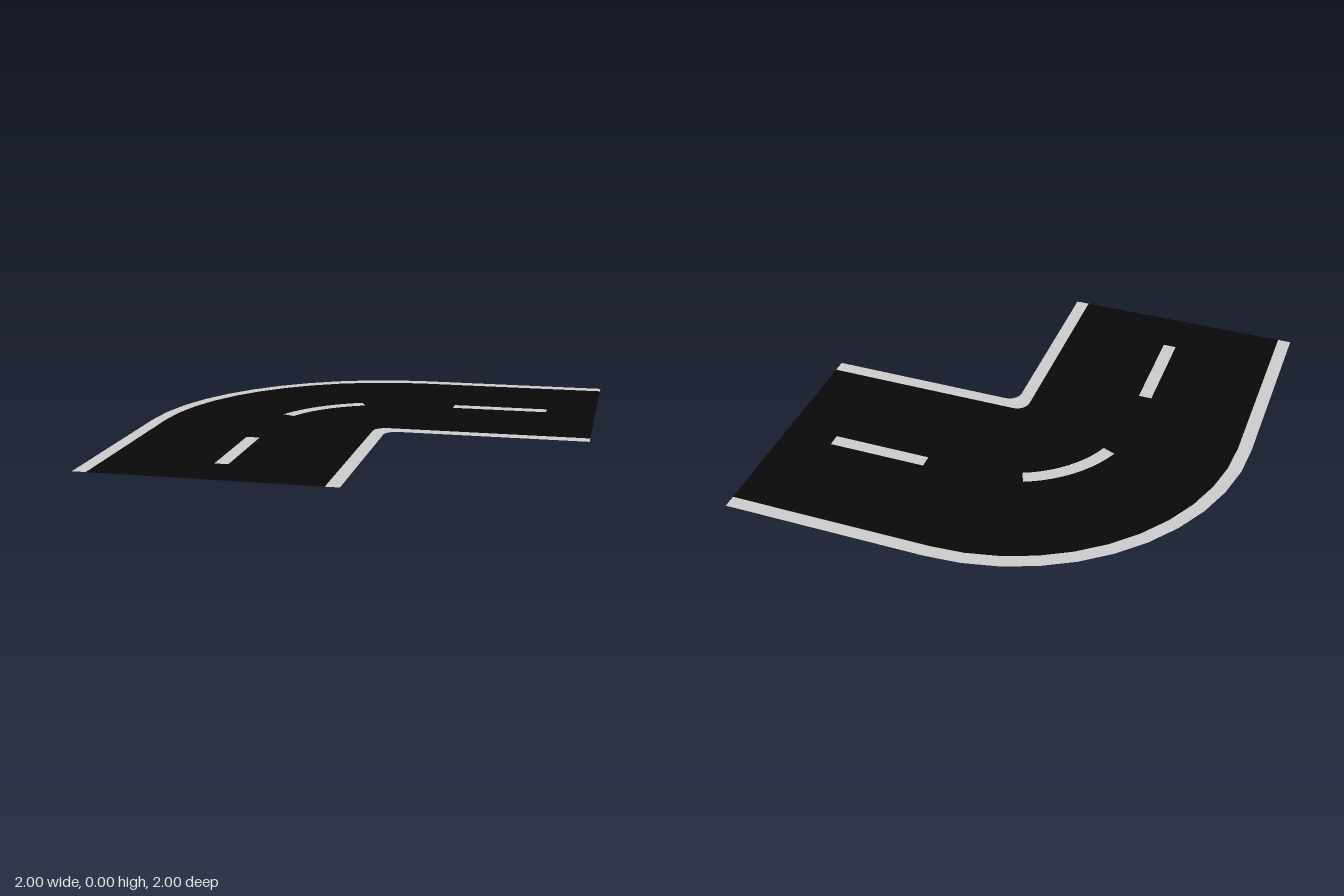
import * as THREE from 'three';

// Plan coordinates: (x, -z). The bend turns about the point (C, -C).
const C = 0.1;
const HALF_LINE = 0.03;
const LANE_RADIUS = 0.55;

function arc(radius, from, to, segments, c = C) {
  const points = [];
  for (let i = 0; i <= segments; i++) {
    const a = from + (to - from) * i / segments;
    points.push(new THREE.Vector2(c + radius * Math.cos(a), -c + radius * Math.sin(a)));
  }
  return points;
}

// Full edge line: straight, quarter turn, straight
function edge(radius, segments, c = C) {
  return [
    new THREE.Vector2(c - radius, -1),
    ...arc(radius, Math.PI, Math.PI / 2, segments, c),
    new THREE.Vector2(1, radius - c),
  ];
}

// Closed outline between two edge lines
const band = (a, b) => [...a, ...b.slice().reverse()];

function rectangle(x0, y0, x1, y1) {
  return [[x0, y0], [x1, y0], [x1, y1], [x0, y1]].map(([x, y]) => new THREE.Vector2(x, y));
}

function flatPart(name, outline, material, holes = []) {
  const shape = new THREE.Shape(outline);
  shape.holes = holes.map((points) => new THREE.Path(points));
  const geometry = new THREE.ShapeGeometry(shape).rotateX(-Math.PI / 2);
  const mesh = new THREE.Mesh(geometry, material);
  mesh.name = name;
  return mesh;
}

export function createModel() {
  const group = new THREE.Group();
  group.name = 'roadBend';
  const grey = new THREE.MeshStandardMaterial({ color: 0xcccccc, side: THREE.DoubleSide });
  const asphalt = new THREE.MeshStandardMaterial({ color: 0x080808, side: THREE.DoubleSide });

  // Edge lines of the kerbs and the carriageway
  const outerRim = edge(1.1, 11);
  const outerRoad = edge(1.04, 11);
  const innerRoad = edge(0.06, 8);
  const innerRim = edge(0.06, 8, 0.16);

  // Centre line dashes, set flush into the road
  const mid = C - LANE_RADIUS;
  const start = Math.PI * 7 / 8, end = Math.PI * 5 / 8;
  const dashes = {
    frontDash: rectangle(mid - HALF_LINE, -0.77, mid + HALF_LINE, -0.325),
    bendDash: band(
      arc(LANE_RADIUS + HALF_LINE, start, end, 10),
      arc(LANE_RADIUS - HALF_LINE, start, end, 10),
    ),
    sideDash: rectangle(0.325, -mid - HALF_LINE, 0.77, -mid + HALF_LINE),
  };

  group.add(
    flatPart('roadSurface', band(outerRoad, innerRoad), asphalt, Object.values(dashes)),
    flatPart('outerKerb', band(outerRim, outerRoad), grey),
    flatPart('innerKerb', band(innerRoad, innerRim), grey),
  );
  for (const [name, outline] of Object.entries(dashes)) {
    group.add(flatPart(name, outline, grey));
  }
  return group;
}
